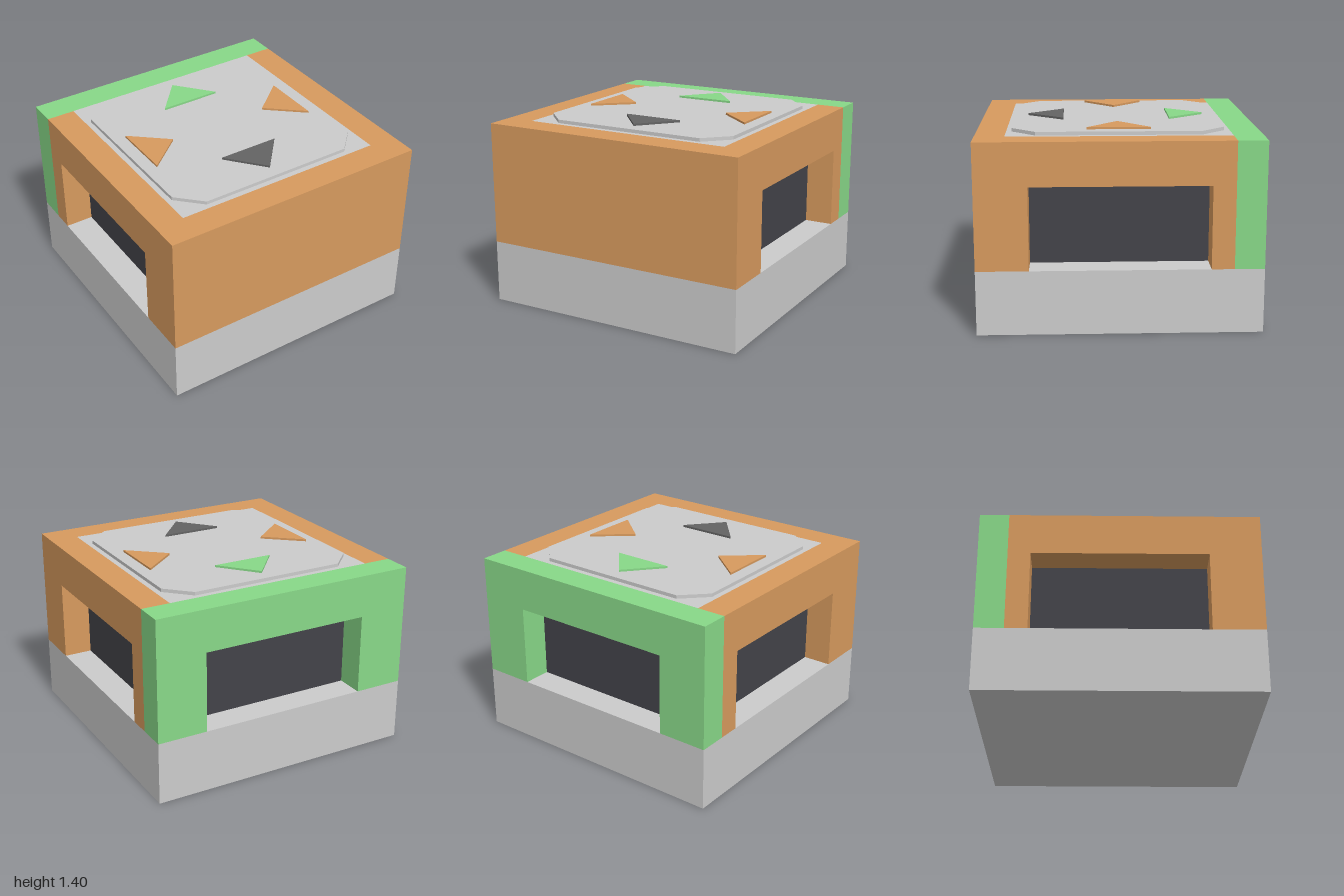
import * as THREE from 'three';

const BASE_TOP = 0.46, TOP = 1.36, INNER = 0.79, WALL = 0.21;
const PLATE_TOP = 1.385;

const paint = (color) => new THREE.MeshStandardMaterial({ color, flatShading: true });

export function createModel() {
  const model = new THREE.Group();
  const grey = paint(0xcccccc), orange = paint(0xd79a5e), green = paint(0x88d888);
  const dark = paint(0x434349), charcoal = paint(0x636363);

  const add = (name, geometry, material) => {
    const mesh = new THREE.Mesh(geometry, material);
    mesh.name = name;
    model.add(mesh);
    return mesh;
  };

  // Box standing between two heights
  const block = (name, w, d, y0, y1, material, z = 0) =>
    add(name, new THREE.BoxGeometry(w, y1 - y0, d), material).position.set(0, (y0 + y1) / 2, z);

  const extrude = (points, depth) => new THREE.ExtrudeGeometry(
    new THREE.Shape(points.map(([x, y]) => new THREE.Vector2(x, y))),
    { depth, bevelEnabled: false });

  // Wall with a doorway open at the bottom; its outer face ends up 1 unit from the centre
  const portalWall = (name, halfWidth, angle, material) => {
    const w = halfWidth, o = 0.63, h = 1.05;
    const geometry = extrude([
      [-w, BASE_TOP], [-o, BASE_TOP], [-o, h], [o, h],
      [o, BASE_TOP], [w, BASE_TOP], [w, TOP], [-w, TOP],
    ], WALL);
    geometry.translate(0, 0, INNER).rotateY(angle);
    add(name, geometry, material);
  };

  // Flat slab lying on a given height; outline given as [x, -z]
  const slab = (name, points, y, height, material, angle = 0) => {
    const geometry = extrude(points, height);
    geometry.rotateX(-Math.PI / 2).rotateY(angle).translate(0, y, 0);
    add(name, geometry, material);
  };

  // Body
  block('base', 2, 2, 0, BASE_TOP, grey);
  block('innerCore', 2 * INNER, 2 * INNER, BASE_TOP, 1.3, dark);
  block('topDeck', 2 * INNER, 2 * INNER, 1.3, TOP, grey);
  block('frontWall', 2, WALL, BASE_TOP, TOP, orange, 1 - WALL / 2);
  portalWall('backWall', 1, Math.PI, green);
  portalWall('leftWall', INNER, Math.PI / 2, orange);
  portalWall('rightWall', INNER, -Math.PI / 2, orange);

  // Top plate with cut corners
  const a = 0.75, b = 0.58;
  slab('topPlate', [[-b, -a], [b, -a], [a, -b], [a, b], [b, a], [-b, a], [-a, b], [-a, -b]],
    TOP, PLATE_TOP - TOP, grey);

  // Direction arrows: back and front point outward, the sides point inward
  const outward = [[-0.225, 0.39], [0.225, 0.39], [0, 0.655]];
  const inward = [[-0.225, 0.655], [0, 0.39], [0.225, 0.655]];
  const arrows = [
    ['backArrow', outward, green, 0],
    ['rightArrow', inward, orange, Math.PI / 2],
    ['frontArrow', outward, charcoal, Math.PI],
    ['leftArrow', inward, orange, -Math.PI / 2],
  ];
  for (const [name, points, material, angle] of arrows) {
    slab(name, points, PLATE_TOP, 0.015, material, angle);
  }

  return model;
}
